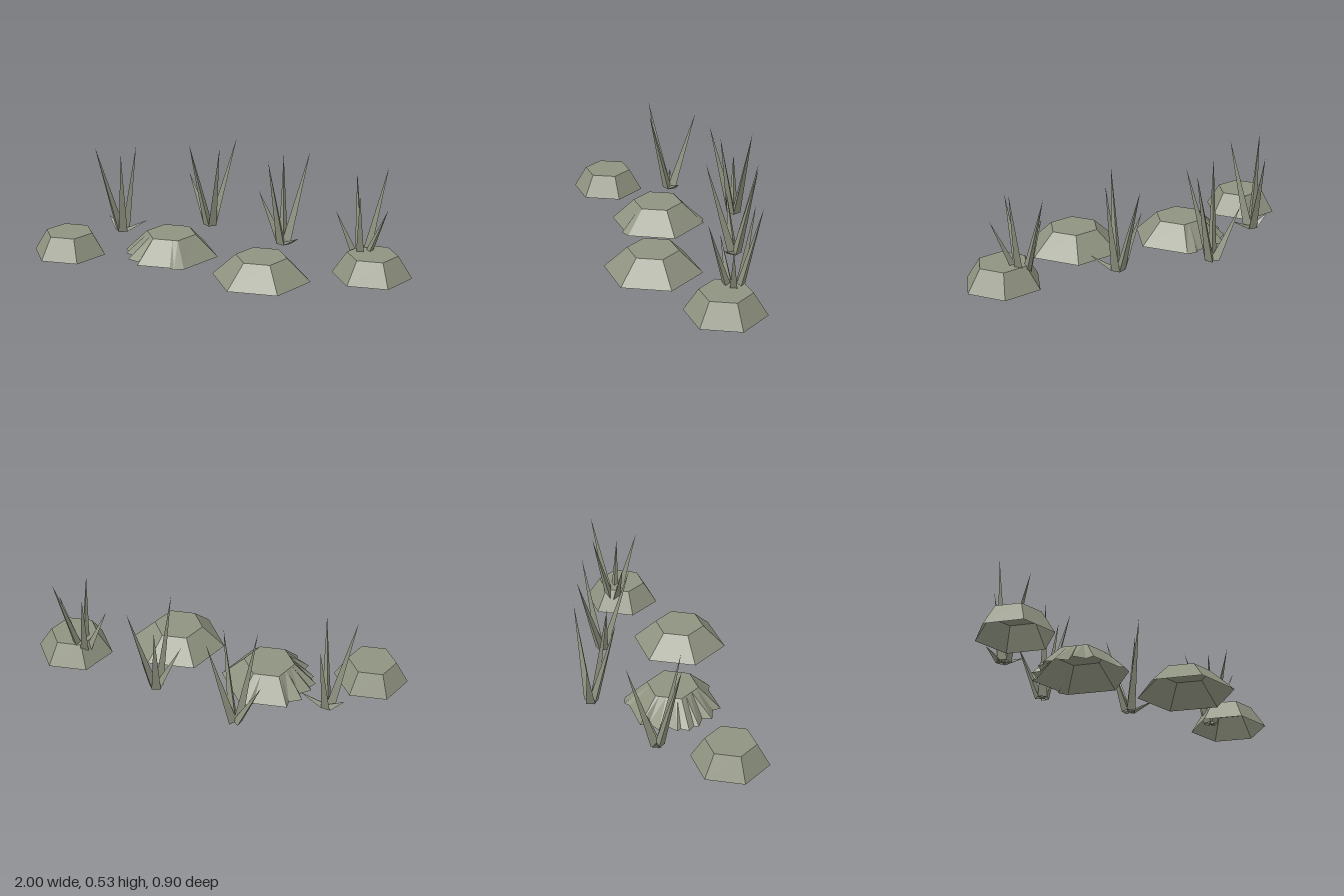
import * as THREE from 'three';

const stone = new THREE.MeshStandardMaterial({ color: 0x8f9380, flatShading: true, side: THREE.DoubleSide });
stone.name = 'mossy grey';

const ROCK_HEIGHT = 0.115;
const rad = THREE.MathUtils.degToRad;

// Distance from the centre to the edge of a hexagon at an angle in degrees
const hexRadius = (r, deg) => r * Math.cos(rad(30)) / Math.cos(rad((((deg % 60) + 60) % 60) - 30));

// Open-bottomed rock: sloping sides from a base outline [degrees, radius] up to a flat hexagon
function rock(name, x, z, outline, topRadius) {
  const at = (deg, r, y) => [r * Math.cos(rad(deg)), y, r * Math.sin(rad(deg))];
  const pos = [];
  outline.forEach(([a, ra], i) => {
    const [b, rb] = outline[(i + 1) % outline.length];
    const p = at(a, ra, 0), q = at(b, rb, 0);
    const pt = at(a, hexRadius(topRadius, a), ROCK_HEIGHT);
    const qt = at(b, hexRadius(topRadius, b), ROCK_HEIGHT);
    pos.push(...p, ...pt, ...q, ...q, ...pt, ...qt);
    pos.push(0, ROCK_HEIGHT, 0, ...qt, ...pt);
  });
  const geo = new THREE.BufferGeometry();
  geo.setAttribute('position', new THREE.Float32BufferAttribute(pos, 3));
  geo.computeVertexNormals();
  const mesh = new THREE.Mesh(geo, stone);
  mesh.name = name;
  mesh.position.set(x, 0, z);
  return mesh;
}

const hexOutline = (r) => [0, 60, 120, 180, 240, 300].map((a) => [a, r]);

// Slender three-sided blade from the tuft's root to its tip
function blade(root, tip) {
  const out = new THREE.Vector3(tip.x - root.x, 0, tip.z - root.z).normalize();
  const side = new THREE.Vector3(-out.z, 0, out.x);
  const ring = [[-0.012, 0], [0.03, 0.024], [0.03, -0.024]].map(([o, s]) =>
    root.clone().addScaledVector(out, o).addScaledVector(side, s));
  const pos = [];
  for (let i = 0; i < 3; i++) {
    for (const v of [ring[i], tip, ring[(i + 1) % 3]]) pos.push(v.x, v.y, v.z);
  }
  const geo = new THREE.BufferGeometry();
  geo.setAttribute('position', new THREE.Float32BufferAttribute(pos, 3));
  geo.computeVertexNormals();
  const mesh = new THREE.Mesh(geo, stone);
  mesh.name = 'blade';
  return mesh;
}

function tuft(name, x, z, tips) {
  const group = new THREE.Group();
  group.name = name;
  const root = new THREE.Vector3(x, 0.03, z);
  for (const t of tips) group.add(blade(root, new THREE.Vector3(...t)));
  return group;
}

export function createModel() {
  const model = new THREE.Group();
  model.name = 'rocksAndGrass';

  // Plain six-sided rocks
  model.add(rock('rightRock', -0.805, 0.105, hexOutline(0.195), 0.127));
  model.add(rock('frontRock', 0.257, 0.23, hexOutline(0.253), 0.132));
  model.add(rock('leftRock', 0.796, 0.07, hexOutline(0.204), 0.13));

  // Fluted rock: plain on its left, folded on its right, mirrored front to back
  const half = [[60, 0.25], [72, 0.247], [77, 0.222], [90, 0.216], [120, 0.25], [127, 0.215],
    [144, 0.242], [151, 0.2], [166, 0.24], [171, 0.225]];
  const mirrored = half.map(([a, r]) => [360 - a, r]).reverse();
  model.add(rock('flutedRock', -0.275, 0, [[0, 0.252], ...half, [180, 0.25], ...mirrored], 0.133));

  // Grass tufts
  model.add(tuft('rightTuft', -0.607, -0.2, [
    [-0.565, 0.475, -0.34], [-0.465, 0.1, -0.2], [-0.565, 0.5, -0.065],
    [-0.727, 0.52, -0.12], [-0.695, 0.1, -0.235]]));
  model.add(tuft('backTuft', -0.16, -0.4, [
    [-0.295, 0.31, -0.455], [-0.02, 0.53, -0.435], [-0.08, 0.51, -0.28], [-0.252, 0.52, -0.29]]));
  model.add(tuft('middleTuft', 0.29, -0.2, [
    [0.258, 0.48, -0.34], [0.412, 0.53, -0.267], [0.39, 0.1, -0.1],
    [0.228, 0.52, -0.065], [0.15, 0.31, -0.215]]));
  model.add(tuft('leftTuft', 0.73, 0, [
    [0.68, 0.475, -0.13], [0.845, 0.53, -0.09], [0.865, 0.35, 0.065],
    [0.73, 0.44, 0.137], [0.597, 0.31, 0.015]]));

  return model;
}
